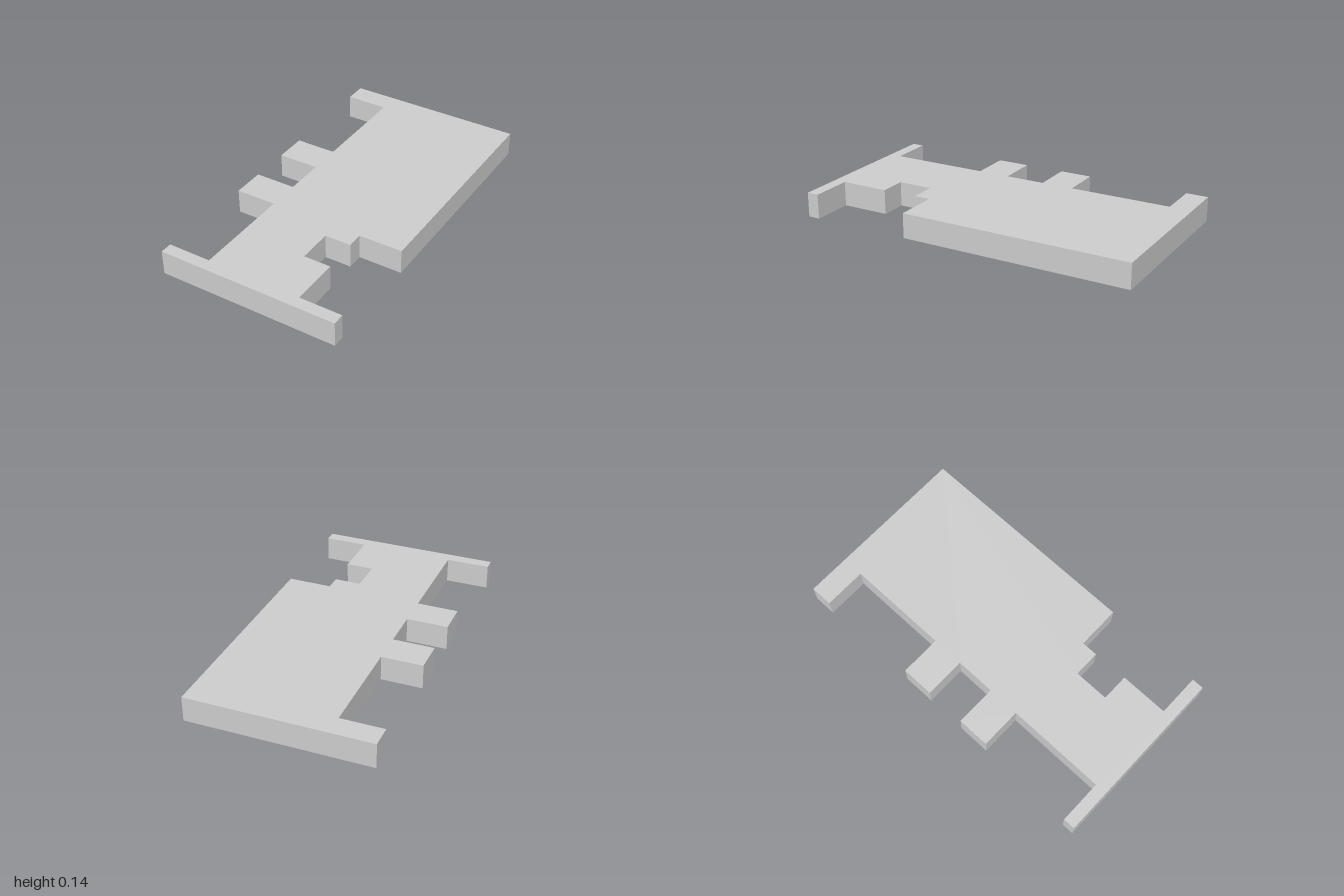
import * as THREE from 'three';

const HEIGHT = 0.145;

// Plan outline as [x, z] corners
const OUTLINE = [
  // back edge and straight left side
  [-0.53, -1], [0.53, -1], [0.53, 0.345],
  // stepped notch on the left side
  [0.275, 0.345], [0.275, 0.44], [0.12, 0.44], [0.12, 0.645], [0.28, 0.645], [0.28, 0.93],
  // thin front bar
  [0.53, 0.93], [0.53, 1], [-0.535, 1], [-0.535, 0.93], [-0.28, 0.93],
  // front tab on the right side
  [-0.28, 0.345], [-0.52, 0.345], [-0.52, 0.155], [-0.28, 0.155],
  // middle tab
  [-0.28, -0.08], [-0.52, -0.08], [-0.52, -0.27], [-0.28, -0.27],
  // rear tab
  [-0.28, -0.87], [-0.53, -0.87],
];

export function createModel() {
  const group = new THREE.Group();
  group.name = 'notchedPlate';

  // Flat plate, extruded from its plan and laid down on y = 0
  const shape = new THREE.Shape(OUTLINE.map(([x, z]) => new THREE.Vector2(x, z)));
  const geometry = new THREE.ExtrudeGeometry(shape, { depth: HEIGHT, bevelEnabled: false });
  geometry.rotateX(Math.PI / 2).translate(0, HEIGHT, 0);

  const plate = new THREE.Mesh(
    geometry,
    new THREE.MeshStandardMaterial({ color: 0xcccccc, flatShading: true }),
  );
  plate.name = 'plate';
  group.add(plate);
  return group;
}
